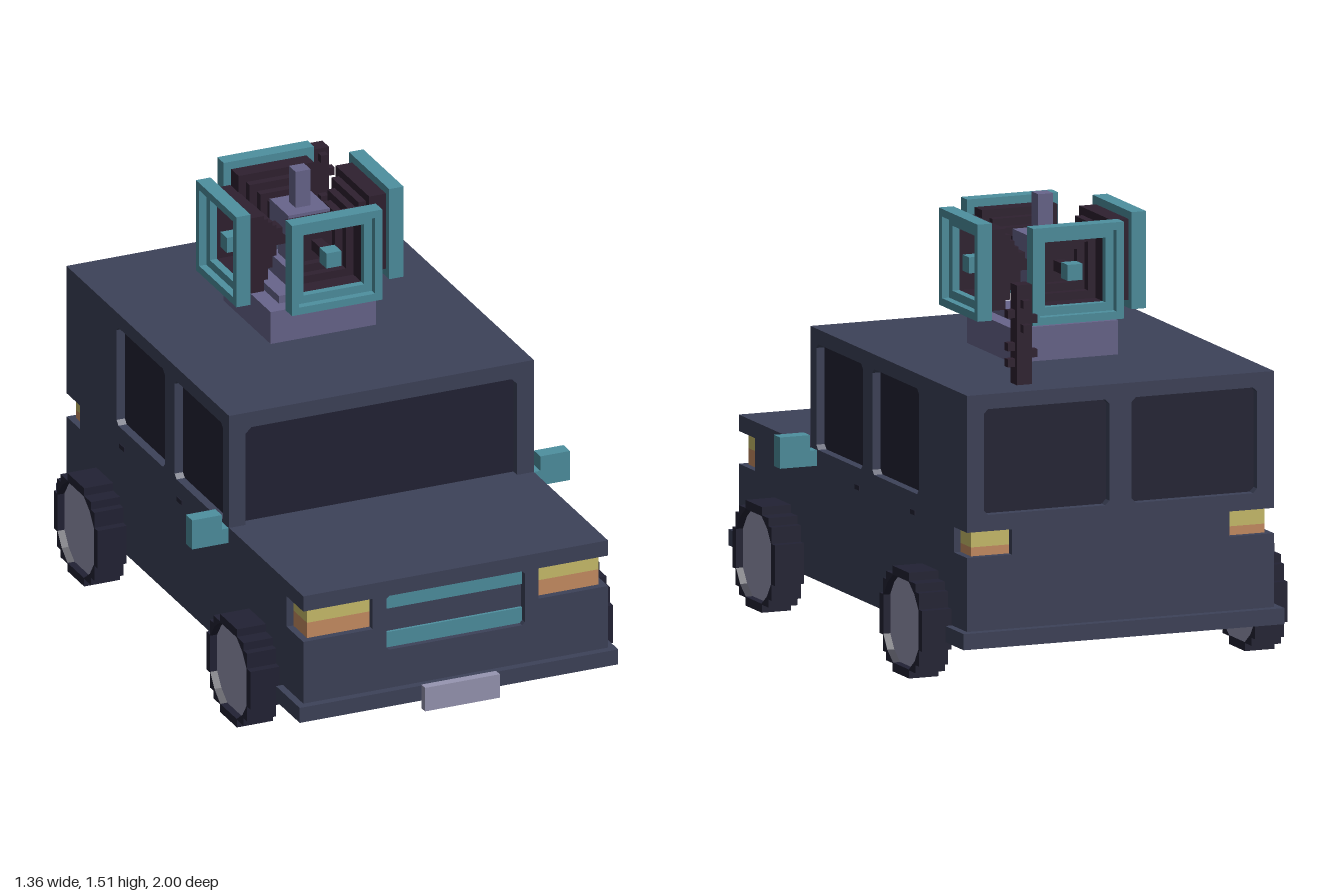
import * as THREE from 'three';

const mat = (name, color) => {
  const m = new THREE.MeshStandardMaterial({ color, flatShading: true });
  m.name = name;
  return m;
};

export function createModel() {
  const M = {
    body: mat('slate body', 0x3d4259),
    dark: mat('dark glass and rubber', 0x222234),
    teal: mat('teal trim', 0x4e90a0),
    purple: mat('purple metal', 0x68658c),
    pale: mat('pale metal', 0x9796b2),
    yellow: mat('yellow lamp', 0xcbbf6c),
    orange: mat('orange lamp', 0xc98e63),
    maroon: mat('dark maroon', 0x2f2130),
  };
  const model = new THREE.Group();
  model.name = 'sirenTruck';

  const add = (geo, m, name, parent = model) => {
    const mesh = new THREE.Mesh(geo, m);
    mesh.name = name;
    parent.add(mesh);
    return mesh;
  };
  // Box given by its limits on each axis
  const box = (x0, x1, y0, y1, z0, z1, m, name, parent) => {
    const g = new THREE.BoxGeometry(x1 - x0, y1 - y0, z1 - z0);
    g.translate((x0 + x1) / 2, (y0 + y1) / 2, (z0 + z1) / 2);
    return add(g, m, name, parent);
  };
  const poly = (pts) => pts.map(([x, y]) => new THREE.Vector2(x, y));
  // Rectangle with clipped corners
  const clipped = (x0, x1, y0, y1, c = 0.015) => [
    [x0 + c, y0], [x1 - c, y0], [x1, y0 + c], [x1, y1 - c],
    [x1 - c, y1], [x0 + c, y1], [x0, y1 - c], [x0, y0 + c]];
  const square = (h) => [[-h, -h], [h, -h], [h, h], [-h, h]];
  const plate = (outline, holes, depth) => {
    const s = new THREE.Shape(poly(outline));
    holes.forEach((h) => s.holes.push(new THREE.Path(poly(h))));
    return new THREE.ExtrudeGeometry(s, { depth, bevelEnabled: false });
  };

  // Solid cores behind the outer panels
  const T = 0.03;
  box(-0.52, 0.52, 0.14, 0.58, -0.94, 0.915, M.body, 'lowerBody');
  box(-0.52, 0.52, 0.58, 0.95, -0.94, 0.315, M.dark, 'windowGlass');
  box(-0.52, 0.52, 0.95, 0.985, -0.94, 0.315, M.body, 'roof');

  // Side panels with window openings and lamp notches
  const sideOutline = [
    [-0.94, 0.14], [0.915, 0.14], [0.915, 0.415], [0.81, 0.415], [0.81, 0.525], [0.915, 0.525],
    [0.915, 0.58], [0.315, 0.58], [0.315, 0.985], [-0.94, 0.985],
    [-0.94, 0.525], [-0.86, 0.525], [-0.86, 0.44], [-0.94, 0.44]];
  const sideHoles = [clipped(-0.095, 0.295, 0.58, 0.935), clipped(-0.565, -0.175, 0.58, 0.935)];
  for (const x of [-0.52, 0.55]) {
    const g = plate(sideOutline, sideHoles, T);
    g.rotateY(-Math.PI / 2).translate(x, 0, 0);
    add(g, M.body, x > 0 ? 'leftSidePanel' : 'rightSidePanel');
  }

  // Front panel with grille opening
  const front = plate([
    [-0.55, 0.14], [0.55, 0.14], [0.55, 0.415], [0.3, 0.415], [0.3, 0.525], [0.55, 0.525],
    [0.55, 0.58], [-0.55, 0.58], [-0.55, 0.525], [-0.3, 0.525], [-0.3, 0.415], [-0.55, 0.415],
  ], [clipped(-0.25, 0.25, 0.33, 0.525, 0.01)], T);
  add(front.translate(0, 0, 0.915), M.body, 'frontPanel');
  for (const y of [0.33, 0.47]) box(-0.249, 0.249, y, y + 0.055, 0.91, 0.925, M.teal, 'grilleBar');

  // Windscreen frame
  const screen = plate([[-0.55, 0.57], [0.55, 0.57], [0.55, 0.985], [-0.55, 0.985]],
    [[[-0.49, 0.58], [0.49, 0.58], [0.49, 0.91], [0.47, 0.93], [-0.47, 0.93], [-0.49, 0.91]]], T);
  add(screen.translate(0, 0, 0.315), M.body, 'windscreenFrame');

  // Rear panel with two windows
  const rear = plate([
    [-0.55, 0.14], [0.55, 0.14], [0.55, 0.44], [0.39, 0.44], [0.39, 0.525], [0.55, 0.525],
    [0.55, 0.985], [-0.55, 0.985], [-0.55, 0.525], [-0.39, 0.525], [-0.39, 0.44], [-0.55, 0.44],
  ], [clipped(-0.49, -0.04, 0.58, 0.935), clipped(0.04, 0.49, 0.58, 0.935)], T);
  add(rear.translate(0, 0, -0.97), M.body, 'rearPanel');

  // Bumpers and number plate blank
  box(-0.575, 0.575, 0.138, 0.192, 0.78, 0.972, M.body, 'frontBumper');
  box(-0.575, 0.575, 0.138, 0.192, -1, -0.845, M.body, 'rearBumper');
  box(-0.135, 0.135, 0.11, 0.195, 0.97, 1, M.pale, 'frontPlate');

  // Lamps, mirrors, handles and wheels on both sides
  const C = 0.0273;
  const quarter = [[6.5, 2.5], [5.5, 2.5], [5.5, 4.5], [4.5, 4.5], [4.5, 5.5], [2.5, 5.5], [2.5, 6.5]];
  const rimQuarter = [[5.4, 2.4], [4.15, 4.15], [2.4, 5.4]];
  const round = (q) => [0, 1, 2, 3].flatMap((k) => q.map(([x, y]) => {
    for (let i = 0; i < k; i++) [x, y] = [-y, x];
    return [x * C, y * C];
  }));
  for (const s of [-1, 1]) {
    const side = (a, b, ...rest) => box(Math.min(s * a, s * b), Math.max(s * a, s * b), ...rest);
    side(0.3, 0.526, 0.47, 0.525, 0.81, 0.921, M.yellow, 'headlampTop');
    side(0.3, 0.526, 0.415, 0.47, 0.81, 0.921, M.orange, 'headlampBottom');
    side(0.39, 0.526, 0.47, 0.525, -0.946, -0.86, M.yellow, 'rearLampTop');
    side(0.39, 0.526, 0.44, 0.47, -0.946, -0.86, M.orange, 'rearLampBottom');
    side(0.575, 0.682, 0.525, 0.63, 0.29, 0.342, M.teal, 'mirror');
    side(0.545, 0.575, 0.525, 0.578, 0.29, 0.342, M.teal, 'mirrorArm');
    for (const z of [-0.052, -0.517]) side(0.548, 0.553, 0.506, 0.522, z - 0.02, z + 0.02, M.dark, 'doorHandle');

    for (const z of [0.575, -0.66]) {
      const wheel = new THREE.Group();
      wheel.name = z > 0 ? 'frontWheel' : 'rearWheel';
      wheel.position.set(s * 0.55, 0.178, z);
      wheel.rotation.y = s * Math.PI / 2;
      add(plate(round(quarter), [round(rimQuarter)], 0.105), M.dark, 'tyre', wheel);
      add(plate(round(rimQuarter), [], 0.08), M.pale, 'hub', wheel);
      model.add(wheel);
    }
  }

  // Siren tower on the roof
  const siren = new THREE.Group();
  siren.name = 'siren';
  siren.position.set(0, 0, -0.315);
  model.add(siren);
  const tier = (h, y0, y1, name) => box(-h, h, y0, y1, -h, h, M.purple, name, siren);
  tier(0.19, 0.985, 1.1, 'sirenBase');
  tier(0.137, 1.1, 1.127, 'sirenStep');
  tier(0.08, 1.127, 1.19, 'columnFoot');
  tier(0.055, 1.19, 1.3, 'column');
  tier(0.075, 1.3, 1.38, 'columnHead');
  tier(0.027, 1.38, 1.51, 'columnTip');

  // Four stepped horns: [outer half size, hole half size, start, end, material]
  const rings = [
    [0.163, 0.137, 0.25, 0.302, M.teal],
    [0.137, 0.109, 0.25, 0.276, M.teal],
    [0.136, 0.109, 0.19, 0.25, M.maroon],
    [0.109, 0.082, 0.163, 0.19, M.maroon],
    [0.082, 0.055, 0.136, 0.163, M.maroon],
    [0.055, 0, 0.109, 0.136, M.maroon],
    [0.03, 0, 0.05, 0.109, M.maroon],
    [0.018, 0, 0.136, 0.22, M.maroon],
    [0.027, 0, 0.22, 0.275, M.teal],
  ];
  for (let i = 0; i < 4; i++) {
    const horn = new THREE.Group();
    horn.name = 'horn';
    horn.position.y = 1.29;
    horn.rotation.y = i * Math.PI / 2;
    for (const [o, h, z0, z1, m] of rings) {
      const g = plate(square(o), h ? [square(h)] : [], z1 - z0);
      add(g.translate(0, 0, z0), m, m === M.teal ? 'hornTrim' : 'hornStep', horn);
    }
    siren.add(horn);
  }

  // Knobbly aerial
  const aerial = new THREE.Group();
  aerial.name = 'aerial';
  aerial.position.set(0.3, 0, -0.838);
  model.add(aerial);
  box(-0.027, 0.027, 0.985, 1.32, -0.027, 0.027, M.maroon, 'aerialMast', aerial);
  const knobs = [[0, 1, 1.292], [0, -1, 1.258], [1, 0, 1.222], [-1, 0, 1.2], [0, -1, 1.176],
    [0, 1, 1.145], [1, 0, 1.112], [1, 0, 1.058], [-1, 0, 1.085]];
  for (const [x, z, y] of knobs) {
    const k = 0.0135;
    box(x * 0.04 - k, x * 0.04 + k, y - k, y + k, z * 0.04 - k, z * 0.04 + k, M.maroon, 'aerialKnob', aerial);
  }
  return model;
}
